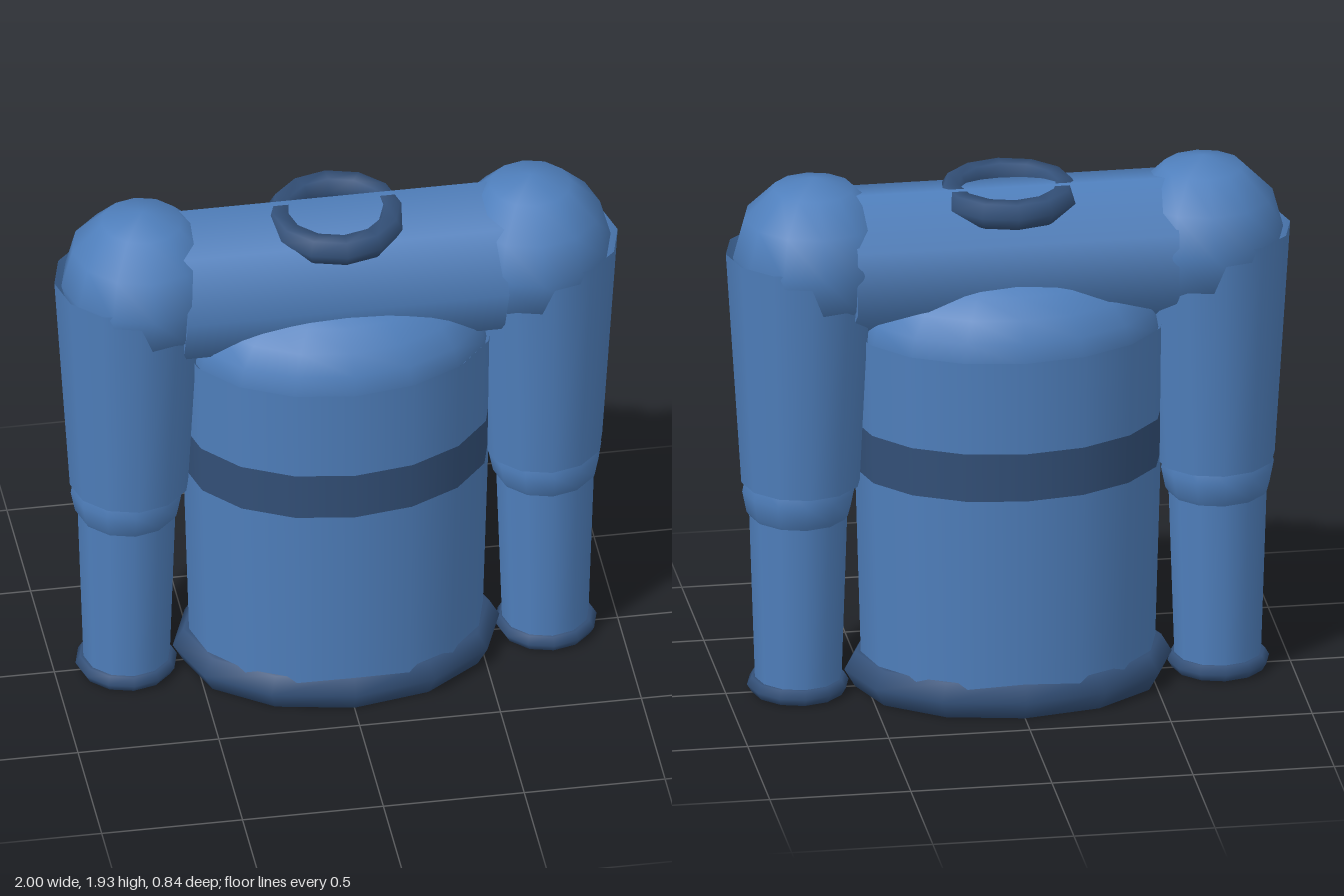
import * as THREE from 'three';

export function createModel() {
  const model = new THREE.Group();
  model.name = 'jumper';
  const knit = new THREE.MeshStandardMaterial({ color: 0x4f7fbc, side: THREE.DoubleSide });
  knit.name = 'knit blue';
  const trim = new THREE.MeshStandardMaterial({ color: 0x335078, side: THREE.DoubleSide });
  trim.name = 'dark blue trim';

  function add(parent, name, geometry, material, x, y) {
    const mesh = new THREE.Mesh(geometry, material);
    mesh.name = name;
    mesh.position.set(x, y, 0);
    parent.add(mesh);
    return mesh;
  }
  // Open tapered tube standing between two heights
  function tube(parent, name, material, x, y0, y1, r0, r1, sides) {
    const g = new THREE.CylinderGeometry(r1, r0, y1 - y0, sides, 1, true);
    return add(parent, name, g, material, x, (y0 + y1) / 2);
  }
  // Flat-lying ring with a hexagonal section
  function ring(parent, name, x, y, major, minor, sides) {
    const g = new THREE.TorusGeometry(major, minor, 6, sides).rotateX(-Math.PI / 2);
    return add(parent, name, g, trim, x, y);
  }

  // Torso: one oval taper, split where the stripe crosses it
  const bottom = 0.07, top = 1.355, depth = 0.75;
  const radiusAt = (y) => THREE.MathUtils.lerp(0.52, 0.557, (y - bottom) / (top - bottom));
  const bands = [
    ['lowerBody', bottom, 0.83, knit],
    ['chestStripe', 0.83, 1.01, trim],
    ['upperBody', 1.01, top, knit],
  ];
  for (const [name, y0, y1, material] of bands) {
    tube(model, name, material, 0, y0, y1, radiusAt(y0), radiusAt(y1), 16).scale.z = depth;
  }
  ring(model, 'hem', 0, 0.07, 0.505, 0.075, 12).scale.z = 0.72;

  // Rounded chest top and the yoke that joins the shoulders
  const dome = new THREE.SphereGeometry(1, 16, 6, 0, Math.PI * 2, 0, Math.PI / 2);
  add(model, 'chestTop', dome, knit, 0, 1.34).scale.set(0.545, 0.3, 0.405);
  const yoke = new THREE.CylinderGeometry(0.27, 0.27, 1.14, 7).rotateZ(Math.PI / 2);
  add(model, 'yoke', yoke, knit, 0, 1.617);
  ring(model, 'collar', 0, 1.83, 0.2, 0.053, 12);

  // Sleeves
  for (const side of [1, -1]) {
    const sleeve = new THREE.Group();
    sleeve.name = side > 0 ? 'leftSleeve' : 'rightSleeve';
    model.add(sleeve);
    add(sleeve, 'shoulder', new THREE.SphereGeometry(0.285, 12, 6), knit, side * 0.69, 1.65);
    tube(sleeve, 'upperSleeve', knit, side * 0.733, 0.8, 1.665, 0.212, 0.267, 12);
    add(sleeve, 'elbow', new THREE.SphereGeometry(0.2, 12, 8), knit, side * 0.742, 0.765);
    tube(sleeve, 'lowerSleeve', knit, side * 0.743, 0.035, 0.8, 0.153, 0.178, 12);
    ring(sleeve, 'cuff', side * 0.745, 0.035, 0.148, 0.032, 12);
  }
  return model;
}
